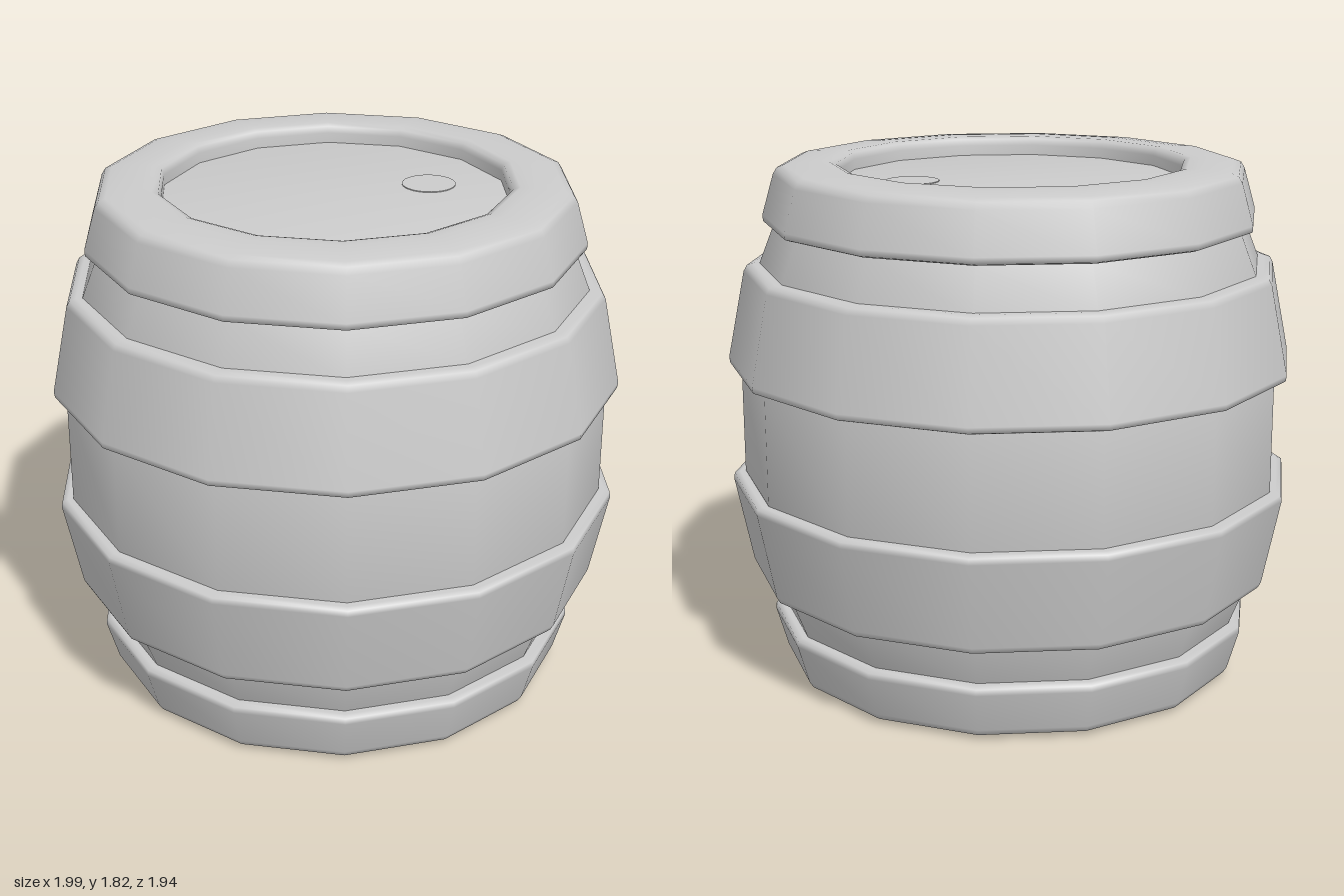
import * as THREE from 'three';

const SIDES = 14;
const HEIGHT = 1.816;
const grey = new THREE.MeshStandardMaterial({ color: 0xcccccc });

// Rounds every inner corner of a profile with a short curve
function soften(profile, size) {
  const pts = profile.map(([r, y]) => new THREE.Vector2(r, y));
  const out = [pts[0]];
  for (let i = 1; i < pts.length - 1; i++) {
    const toward = (p) => {
      const d = p.clone().sub(pts[i]);
      return pts[i].clone().add(d.setLength(Math.min(size, d.length() * 0.45)));
    };
    const bend = new THREE.QuadraticBezierCurve(toward(pts[i - 1]), pts[i], toward(pts[i + 1]));
    out.push(...bend.getPoints(2));
  }
  out.push(pts[pts.length - 1]);
  return out;
}

// Flips a profile about mid height, keeping it running upward
const flip = (pts) => pts.map((p) => new THREE.Vector2(p.x, HEIGHT - p.y)).reverse();

function turned(name, pts) {
  const mesh = new THREE.Mesh(new THREE.LatheGeometry(pts, SIDES, Math.PI / 2), grey);
  mesh.name = name;
  return mesh;
}

export function createModel() {
  const barrel = new THREE.Group();
  barrel.name = 'barrel';

  // Bulging body, closed by a lid and a base
  const upper = [[0.955, 1.1], [0.88, 1.465], [0.825, 1.605], [0.77, 1.75], [0, 1.75]]
    .map(([r, y]) => new THREE.Vector2(r, y));
  barrel.add(turned('body', [...flip(upper), ...upper]));

  // Wide hoops around the belly
  const hoop = soften([[0.85, 1.105], [1.003, 1.105], [0.93, 1.466], [0.8, 1.466]], 0.028);
  barrel.add(turned('upperHoop', hoop), turned('lowerHoop', flip(hoop)));

  // End rims with a recessed centre
  const rim = soften([[0.7, 1.607], [0.872, 1.607], [0.815, 1.805], [0.7, 1.816], [0.6, 1.816], [0.6, 1.73]], 0.03);
  barrel.add(turned('topRim', rim), turned('bottomRim', flip(rim)));

  // Round bung set almost flush in the lid
  const bung = new THREE.Mesh(new THREE.CylinderGeometry(0.093, 0.093, 0.02, 32), grey);
  bung.name = 'bung';
  bung.position.set(0.345, 1.743, -0.03);
  barrel.add(bung);

  return barrel;
}
